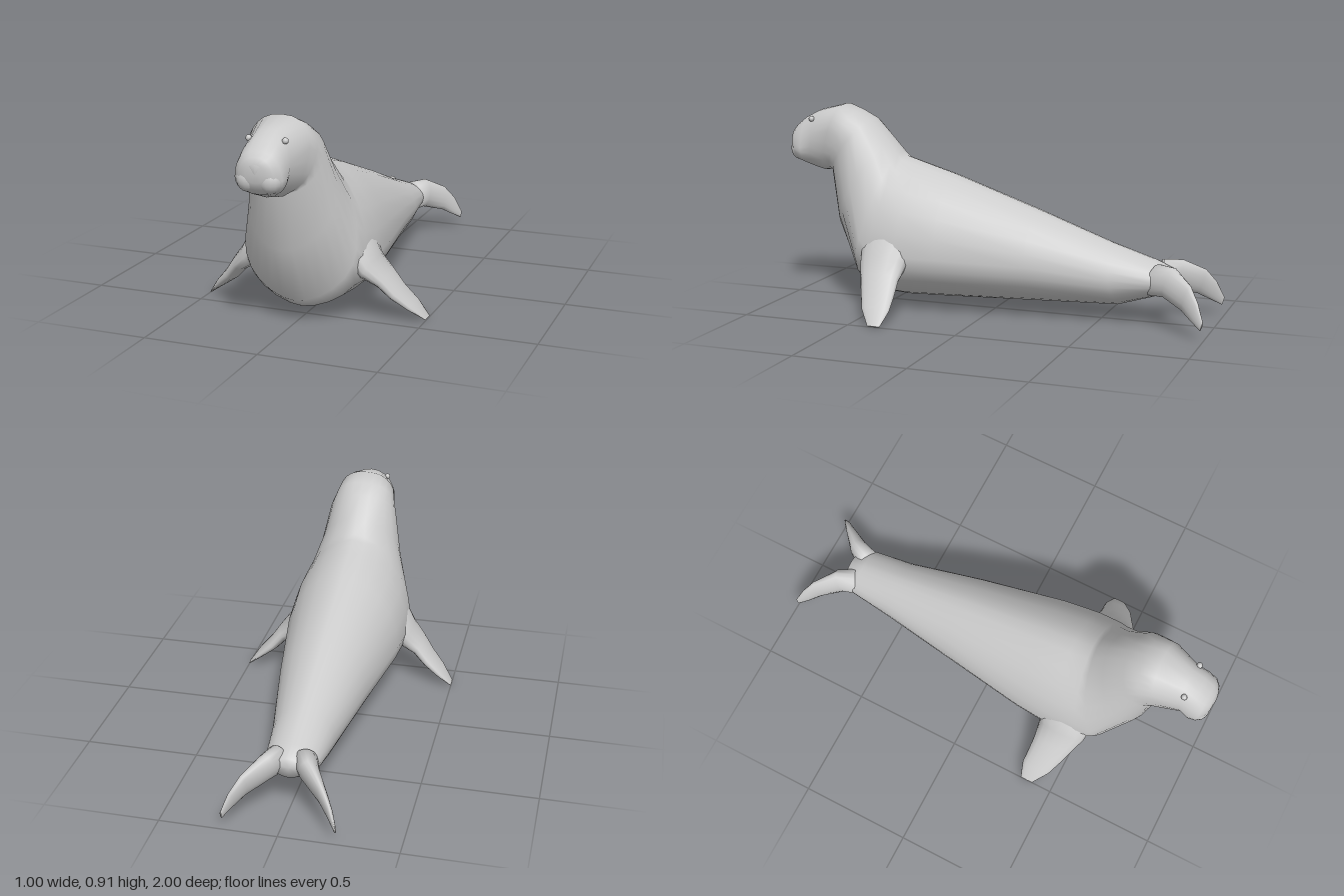
import * as THREE from 'three';

const SEG = 24;
const V = (x, y, z) => new THREE.Vector3(x, y, z);
const material = new THREE.MeshStandardMaterial({ color: 0xcccccc, roughness: 0.8 });

function mesh(name, geometry) {
  const m = new THREE.Mesh(geometry, material);
  m.name = name;
  return m;
}

// Closed skin through rings of points, with a centre point closing each end
function loft(rings) {
  const n = rings[0].length, pts = rings.flat(), index = [];
  for (let i = 0; i < rings.length - 1; i++) {
    for (let j = 0; j < n; j++) {
      const a = i * n + j, b = i * n + (j + 1) % n;
      index.push(a, a + n, b, b, a + n, b + n);
    }
  }
  const centre = ring => ring.reduce((s, p) => s.add(p), V(0, 0, 0)).divideScalar(n);
  const first = pts.length, last = first + 1, end = (rings.length - 1) * n;
  pts.push(centre(rings[0]), centre(rings[rings.length - 1]));
  for (let j = 0; j < n; j++) {
    const k = (j + 1) % n;
    index.push(first, j, k, last, end + k, end + j);
  }
  // Keep faces pointing outward on mirrored parts too
  let volume = 0;
  for (let i = 0; i < index.length; i += 3) {
    const [a, b, c] = [0, 1, 2].map(k => pts[index[i + k]]);
    volume += a.dot(b.clone().cross(c));
  }
  if (volume < 0) index.reverse();
  const g = new THREE.BufferGeometry().setFromPoints(pts);
  g.setIndex(index);
  g.computeVertexNormals();
  return g;
}

// Ring between a back point and a belly point, widest at height f;
// the section is peaked on the trunk and squarer on the head
function bodyRing([dz, dy, vz, vy, w, f]) {
  const p = 1.2 - 0.38 * THREE.MathUtils.smoothstep(dz, 0.4, 0.73);
  return Array.from({ length: SEG }, (_, j) => {
    const a = j / SEG * Math.PI * 2, s = Math.sin(a), c = Math.cos(a);
    const t = c > 0 ? f + (1 - f) * c : f + f * c;
    const x = w * Math.sign(s) * Math.pow(Math.abs(s), p);
    return V(x, vy + (dy - vy) * t, vz + (dz - vz) * t);
  });
}

// Elliptical ring spanned by two half axes
function ellipseRing(c, u, v) {
  return Array.from({ length: 16 }, (_, j) => {
    const a = j / 16 * Math.PI * 2;
    return c.clone().addScaledVector(u, Math.cos(a)).addScaledVector(v, Math.sin(a));
  });
}

// back z, back y, belly z, belly y, half width, widest height
const TRUNK = [
  [-0.81, 0.25, -0.81, 0.16, 0.07, 0.5],
  [-0.74, 0.28, -0.74, 0.12, 0.115, 0.5],
  [-0.54, 0.345, -0.58, 0.07, 0.135, 0.48],
  [-0.20, 0.47, -0.20, 0.058, 0.20, 0.45],
  [0.20, 0.61, 0.20, 0.045, 0.265, 0.38],
  [0.35, 0.655, 0.40, 0.04, 0.28, 0.36],
  [0.43, 0.68, 0.55, 0.05, 0.272, 0.36],
  [0.45, 0.70, 0.63, 0.10, 0.25, 0.38],
];
const NECK_AND_HEAD = [
  [0.50, 0.755, 0.75, 0.35, 0.192, 0.48],
  [0.59, 0.845, 0.785, 0.595, 0.157, 0.55],
  [0.66, 0.88, 0.80, 0.60, 0.143, 0.6],
  [0.73, 0.908, 0.83, 0.595, 0.132, 0.62],
  [0.86, 0.875, 0.89, 0.61, 0.098, 0.5],
  [0.92, 0.845, 0.925, 0.625, 0.106, 0.36],
  [0.965, 0.81, 0.955, 0.637, 0.10, 0.36],
  [0.985, 0.79, 0.98, 0.66, 0.074, 0.38],
  [0.995, 0.765, 0.992, 0.69, 0.04, 0.45],
];

// x, y, z, half breadth, half thickness
const FRONT_FLIPPER = [
  [0.14, 0.38, 0.42, 0.16, 0.11],
  [0.27, 0.225, 0.435, 0.11, 0.055],
  [0.33, 0.175, 0.425, 0.092, 0.037],
  [0.38, 0.115, 0.412, 0.08, 0.03],
  [0.44, 0.062, 0.395, 0.066, 0.02],
  [0.499, 0.004, 0.378, 0.03, 0.004],
];
const TAIL_FLIPPER = [
  [0.055, 0.205, -0.74, 0.07, 0.05],
  [0.09, 0.205, -0.82, 0.066, 0.04],
  [0.165, 0.162, -0.91, 0.056, 0.02],
  [0.205, 0.115, -0.955, 0.042, 0.013],
  [0.235, 0.064, -0.992, 0.018, 0.005],
];

export function createModel() {
  const model = new THREE.Group();
  model.name = 'seaLion';
  model.add(mesh('bodyAndHead', loft([...TRUNK, ...NECK_AND_HEAD].map(bodyRing))));

  for (const s of [1, -1]) {
    const side = s > 0 ? 'left' : 'right';

    // Flippers, mirrored across the body
    model.add(mesh(side + 'FrontFlipper', loft(FRONT_FLIPPER.map(([x, y, z, b, t]) =>
      ellipseRing(V(s * x, y, z), V(0, 0, b), V(s * 0.6 * t, 0.8 * t, 0))))));
    model.add(mesh(side + 'TailFlipper', loft(TAIL_FLIPPER.map(([x, y, z, b, t]) =>
      ellipseRing(V(s * x, y, z), V(0, b, -0.3 * b), V(s * t, 0, 0.4 * t))))));

    // Eye
    const eye = mesh(side + 'Eye', new THREE.SphereGeometry(0.013, 12, 8));
    eye.position.set(s * 0.077, 0.837, 0.875);
    model.add(eye);

    // Whisker pad
    const pad = mesh(side + 'WhiskerPad', new THREE.SphereGeometry(1, 16, 12));
    pad.scale.set(0.052, 0.052, 0.045);
    pad.position.set(s * 0.045, 0.695, 0.948);
    model.add(pad);
  }

  // Nose, wide above and narrowing below
  model.add(mesh('nose', loft([
    ellipseRing(V(0, 0.72, 0.985), V(0.006, 0, 0), V(0, 0, 0.008)),
    ellipseRing(V(0, 0.757, 0.978), V(0.044, 0, 0), V(0, 0, 0.02)),
    ellipseRing(V(0, 0.782, 0.968), V(0.026, 0, 0), V(0, 0, 0.018)),
  ])));
  return model;
}
